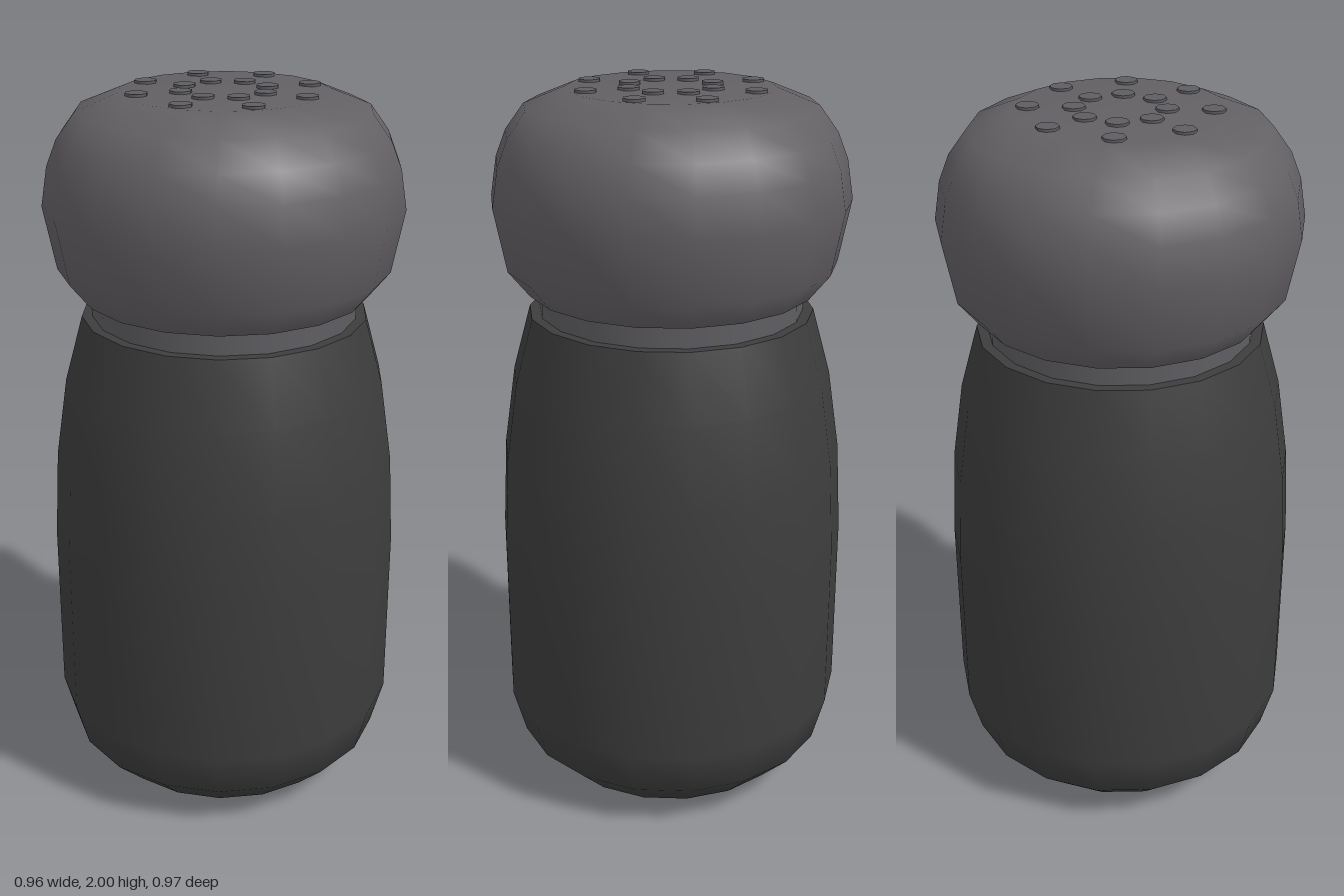
import * as THREE from 'three';

const SIDES = 18;

export function createModel() {
  const model = new THREE.Group();
  model.name = 'shaker';

  const charcoal = new THREE.MeshStandardMaterial({ color: 0x3d3d3d });
  charcoal.name = 'charcoal body';
  const warmGrey = new THREE.MeshStandardMaterial({ color: 0x636063 });
  warmGrey.name = 'warm grey cap';
  const steel = new THREE.MeshStandardMaterial({ color: 0x5e5e62 });
  steel.name = 'steel grey';

  // Profiles run from the bottom up as [radius, height]
  const lathe = (name, profile, material) => {
    const points = profile.map(([r, y]) => new THREE.Vector2(r, y));
    const mesh = new THREE.Mesh(new THREE.LatheGeometry(points, SIDES), material);
    mesh.name = name;
    model.add(mesh);
  };

  // Body with rounded base and tapering shoulder
  lathe('body', [
    [0, 0], [0.225, 0.005], [0.36, 0.04], [0.45, 0.13], [0.485, 0.26],
    [0.485, 0.75], [0.471, 1.0], [0.438, 1.22], [0.388, 1.4],
  ], charcoal);
  lathe('bodyRim', [[0.388, 1.4], [0.34, 1.4]], charcoal);

  // Neck between body and cap
  lathe('neck', [[0.36, 1.39], [0.36, 1.47]], steel);

  // Bulging cap with a flat underside
  lathe('capUnderside', [[0.34, 1.463], [0.39, 1.463]], warmGrey);
  lathe('cap', [
    [0.39, 1.463], [0.448, 1.535], [0.481, 1.705], [0.464, 1.81],
    [0.436, 1.88], [0.386, 1.948], [0.275, 1.993], [0, 1.993],
  ], warmGrey);

  // Two rings of eight raised sprinkle dots
  const dots = new THREE.Group();
  dots.name = 'sprinkleDots';
  const dotGeometry = new THREE.CylinderGeometry(0.03, 0.03, 0.02, 8);
  for (const radius of [0.117, 0.234]) {
    for (let i = 0; i < 8; i++) {
      const angle = (i * Math.PI) / 4;
      const dot = new THREE.Mesh(dotGeometry, steel);
      dot.name = 'sprinkleDot';
      dot.position.set(radius * Math.sin(angle), 1.99, radius * Math.cos(angle));
      dots.add(dot);
    }
  }
  model.add(dots);

  return model;
}
